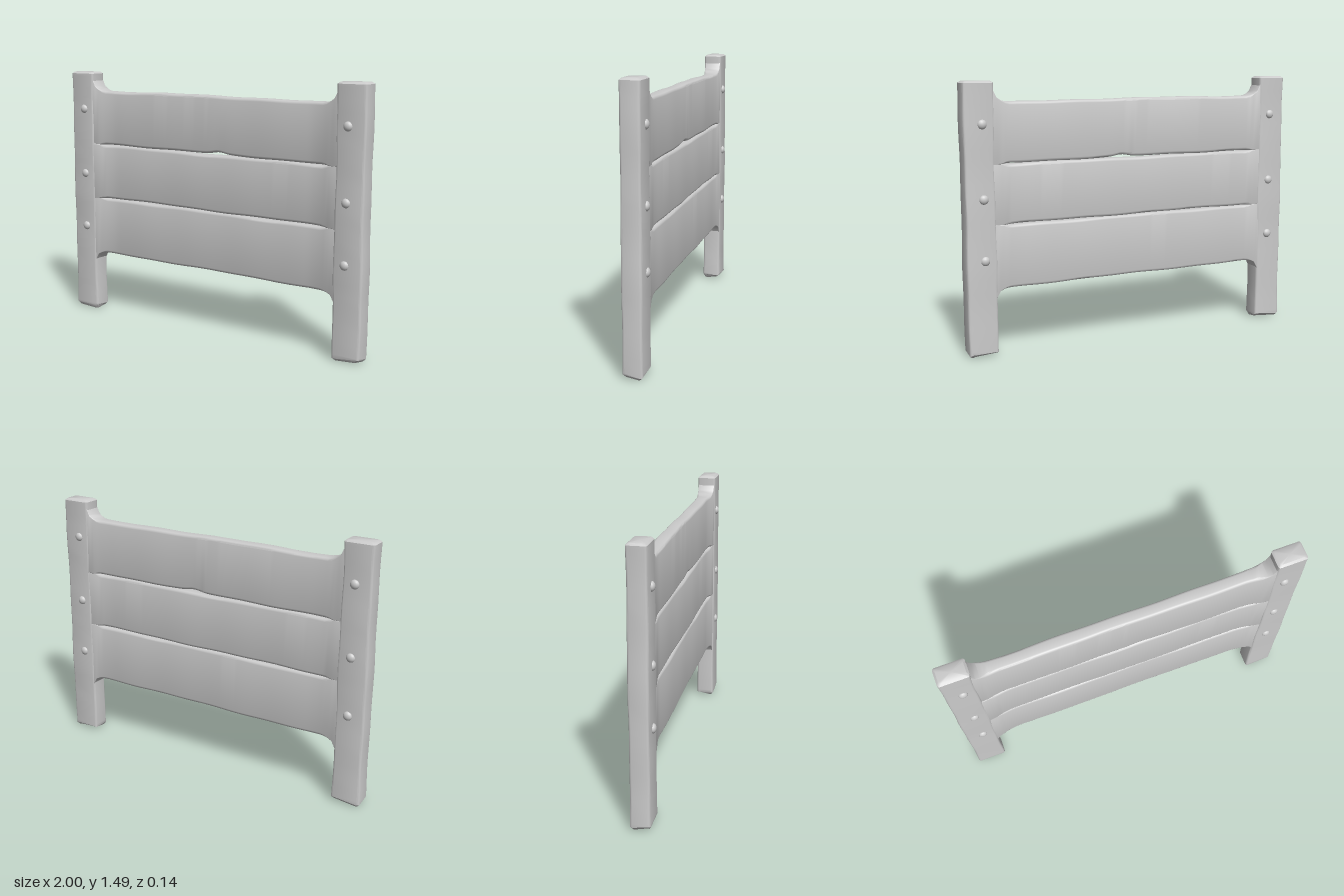
import * as THREE from 'three';
import { toCreasedNormals } from 'three/addons/utils/BufferGeometryUtils.js';

const material = new THREE.MeshStandardMaterial({ color: 0xcccccc });
const { smoothstep } = THREE.MathUtils;

// Rounded rectangle between (a0, b0) and (a1, b1), counter-clockwise
function roundedRect(a0, a1, b0, b1, r, steps = 3) {
  const corners = [[a1 - r, b1 - r], [a0 + r, b1 - r], [a0 + r, b0 + r], [a1 - r, b0 + r]];
  const ring = [];
  corners.forEach(([a, b], k) => {
    for (let i = 0; i <= steps; i++) {
      const t = (k + i / steps) * Math.PI / 2;
      ring.push([a + r * Math.cos(t), b + r * Math.sin(t)]);
    }
  });
  return ring;
}

// Skin a row of equal rings of [x, y, z] points and cap both ends
function loft(rings) {
  const n = rings[0].length, last = rings.length - 1;
  const points = rings.flat(), index = [];
  for (let s = 0; s < last; s++) {
    for (let i = 0; i < n; i++) {
      const p = s * n + i, q = s * n + (i + 1) % n;
      index.push(p, q, p + n, q, q + n, p + n);
    }
  }
  const centre = ring => [0, 1, 2].map(k => ring.reduce((sum, p) => sum + p[k], 0) / n);
  const c0 = points.push(centre(rings[0])) - 1;
  const c1 = points.push(centre(rings[last])) - 1;
  for (let i = 0; i < n; i++) {
    const j = (i + 1) % n;
    index.push(c0, j, i, c1, last * n + i, last * n + j);
  }
  const geometry = new THREE.BufferGeometry();
  geometry.setAttribute('position', new THREE.Float32BufferAttribute(points.flat(), 3));
  geometry.setIndex(index);
  return toCreasedNormals(geometry, 0.7);
}

function addMesh(parent, name, geometry) {
  const mesh = new THREE.Mesh(geometry, material);
  mesh.name = name;
  parent.add(mesh);
  return mesh;
}

// Gently uneven, worn timber
const wobble = (t, seed) => 0.6 * Math.sin(t * 7 + seed) + 0.4 * Math.sin(t * 17 + seed * 2.3);

// Upright post with worn, slightly shrunken ends
function postGeometry(side) {
  const heights = [0.005, 0.02, 0.035];
  for (let i = 1; i <= 22; i++) heights.push(0.035 + i * 1.425 / 22);
  heights.push(1.475, 1.485);
  return loft(heights.map((y, k) => {
    const end = k === 0 || k === heights.length - 1 ? 0.012 : 0;
    const inner = 0.828 + 0.003 * wobble(y, side) + end;
    const outer = 0.995 + 0.003 * wobble(y, side + 4) - end;
    const front = 0.053 + 0.002 * wobble(y, side + 2) - end;
    const back = -0.053 + 0.002 * wobble(y, side + 6) + end;
    const [x0, x1] = side > 0 ? [inner, outer] : [-outer, -inner];
    return roundedRect(back, front, x0, x1, 0.013).map(([z, x]) => {
      const ragged = k < 2 ? 0.008 * Math.sin(x * 70 + z * 45) : 0;
      return [x, Math.max(0, y + ragged), z];
    });
  }));
}

// Plank that thickens toward the posts; outer edges sweep into the posts
function plankGeometry(low, high, seed, isBottom, isTop) {
  const rings = [];
  const count = 72;
  for (let i = 0; i <= count; i++) {
    const x = -0.86 + 1.72 * i / count, d = Math.abs(x);
    const flare = smoothstep(d, 0.66, 0.85);
    const joined = smoothstep(d, 0.745, 0.8);
    const sweep = Math.max(0, Math.min(1, (d - 0.735) / 0.1));
    const fillet = 1 - Math.sqrt(1 - sweep * sweep);
    const foot = Math.max(0, Math.min(1, (d - 0.775) / 0.06));
    let y0 = low + 0.003 * wobble(x, seed) * (1 - joined);
    let y1 = high + 0.003 * wobble(x, seed + 1) * (1 - joined);
    if (isTop) {
      y1 += 0.075 * fillet - 0.004 * smoothstep(d, 0.3, 0.75);
      // Narrow open slit above the middle plank
      y0 += 0.011 * Math.exp(-(((x - 0.08) / 0.05) ** 2));
    } else y1 -= 0.002 * (1 - joined);
    if (isBottom) y0 -= 0.055 * (1 - Math.sqrt(1 - foot * foot));
    // Inner edges close up where the planks meet the posts
    if (!isBottom) y0 -= 0.004 * joined;
    if (!isTop) y1 += 0.004 * joined;
    const front = 0.031 + 0.018 * flare + 0.002 * wobble(x, seed + 3);
    const back = -0.043 - 0.007 * flare + 0.002 * wobble(x, seed + 5);
    const radius = 0.016 - 0.012 * joined;
    rings.push(roundedRect(y0, y1, back, front, radius).map(([y, z]) => [x, y, z]));
  }
  return loft(rings);
}

export function createModel() {
  const model = new THREE.Group();
  model.name = 'woodenFencePanel';

  // Posts
  addMesh(model, 'leftPost', postGeometry(1));
  addMesh(model, 'rightPost', postGeometry(-1));

  // Planks
  addMesh(model, 'bottomPlank', plankGeometry(0.368, 0.716, 1, true, false));
  addMesh(model, 'middlePlank', plankGeometry(0.718, 1.046, 4, false, false));
  addMesh(model, 'topPlank', plankGeometry(1.049, 1.376, 8, false, true));

  // Domed pegs on both faces of the posts
  const peg = new THREE.SphereGeometry(0.026, 14, 10);
  for (const x of [-0.9, 0.895]) {
    for (const y of [0.53, 0.862, 1.26]) {
      for (const face of [1, -1]) {
        const mesh = addMesh(model, 'peg', peg);
        mesh.position.set(x, y, face * 0.05);
        mesh.scale.z = 0.7;
      }
    }
  }
  return model;
}
